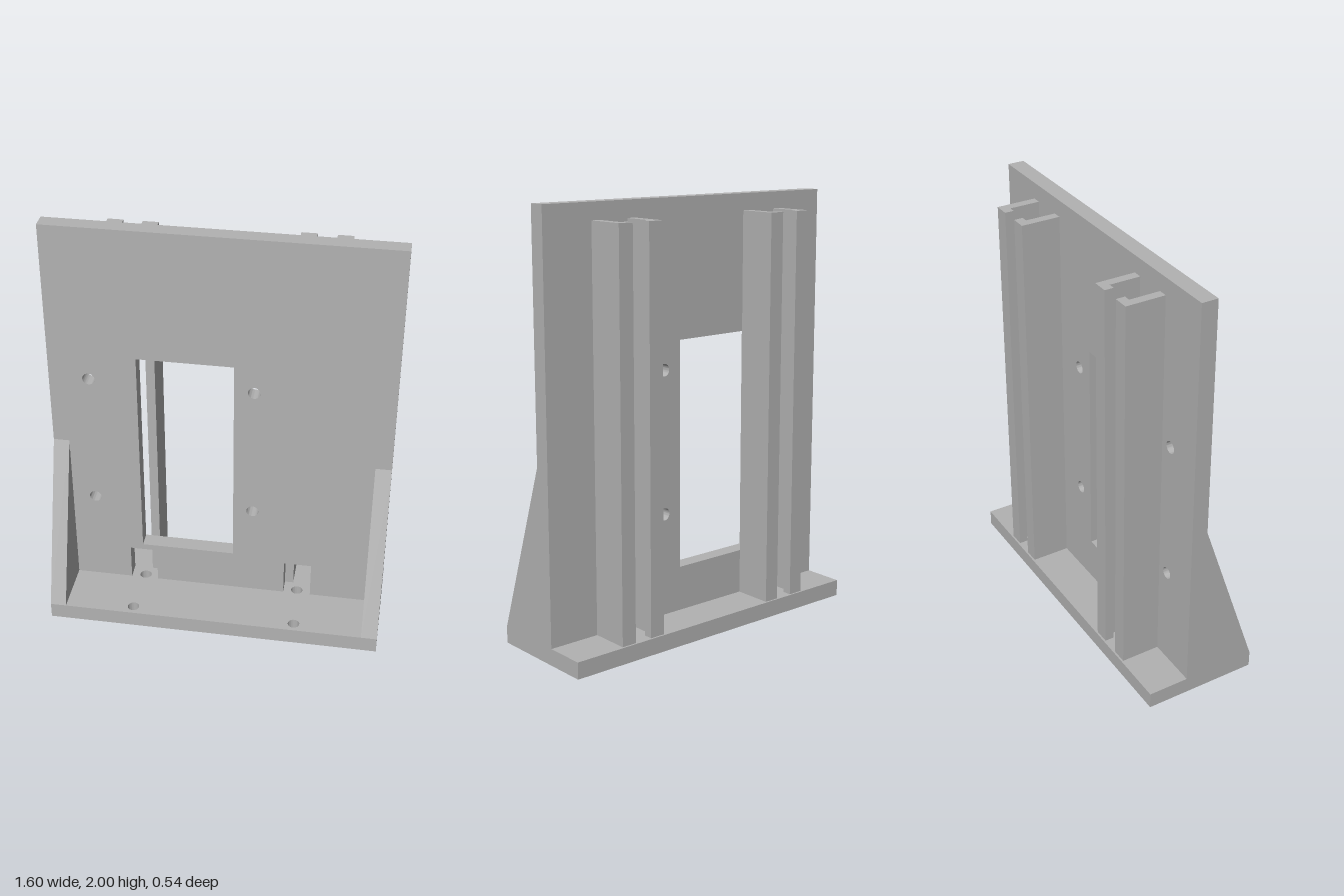
import * as THREE from 'three';
import { toCreasedNormals } from 'three/addons/utils/BufferGeometryUtils.js';

const W = 0.8, H = 2, D = 0.272;       // half width, height, half depth
const T = 0.077, BASE = 0.078;         // panel and base thickness

const polygon = (pts) => new THREE.Shape(pts.map(([x, y]) => new THREE.Vector2(x, y)));

function circleHole(x, y, r) {
  const path = new THREE.Path();
  path.absarc(x, y, r, 0, Math.PI * 2, true);
  return path;
}

function extrude(shape, depth) {
  return new THREE.ExtrudeGeometry(shape, { depth, bevelEnabled: false, curveSegments: 24 });
}

// Extrudes an (x, z) outline upwards from y0
function extrudeUp(shape, y0, height) {
  return extrude(shape, height).rotateX(Math.PI / 2).translate(0, y0 + height, 0);
}

export function createModel() {
  const group = new THREE.Group();
  group.name = 'mountingBracket';
  const grey = new THREE.MeshStandardMaterial({ color: 0xb2b2b2 });
  grey.name = 'light grey';

  const add = (name, geometry) => {
    const mesh = new THREE.Mesh(toCreasedNormals(geometry, 0.5), grey);
    mesh.name = name;
    group.add(mesh);
  };

  // Base plate with four screw holes
  const base = polygon([[-W, -D], [W, -D], [W, D], [-W, D]]);
  for (const s of [-1, 1]) {
    base.holes.push(circleHole(s * 0.395, 0.225, 0.028), circleHole(s * 0.383, -0.022, 0.028));
  }
  add('basePlate', extrudeUp(base, 0, BASE));

  // Upright panel with two bottom notches, a window and four screw holes
  const panel = polygon([
    [-W, BASE], [-0.45, BASE], [-0.45, 0.26], [-0.317, 0.26], [-0.317, BASE],
    [0.317, BASE], [0.317, 0.26], [0.45, 0.26], [0.45, BASE],
    [W, BASE], [W, H], [-W, H],
  ]);
  panel.holes.push(new THREE.Path(
    [[-0.387, 0.29], [-0.387, 1.363], [0.063, 1.363], [0.063, 0.29]].map(([x, y]) => new THREE.Vector2(x, y))
  ));
  for (const x of [-0.612, 0.156]) {
    for (const y of [0.563, 1.235]) panel.holes.push(circleHole(x, y, 0.029));
  }
  add('uprightPanel', extrude(panel, T).translate(0, 0, -T));

  // Sloped side gussets, outlined in (z, y)
  const gusset = polygon([[0, BASE], [D, BASE], [0, 0.88]]);
  for (const [name, x] of [['leftGusset', W], ['rightGusset', -W + 0.076]]) {
    add(name, extrude(gusset, 0.076).rotateY(-Math.PI / 2).translate(x, 0, 0));
  }

  // Two channels on the back, each a pair of facing lipped rails
  const rails = [
    ['rightOuterRail', -0.55, 1], ['rightInnerRail', -0.317, -1],
    ['leftInnerRail', 0.317, 1], ['leftOuterRail', 0.55, -1],
  ];
  for (const [name, x, d] of rails) {
    const web = x + d * 0.042, lip = x + d * 0.073;
    const profile = polygon([[x, -T], [x, -0.263], [lip, -0.263], [lip, -0.221], [web, -0.221], [web, -T]]);
    add(name, extrudeUp(profile, BASE, 1.922 - BASE));
  }

  return group;
}
